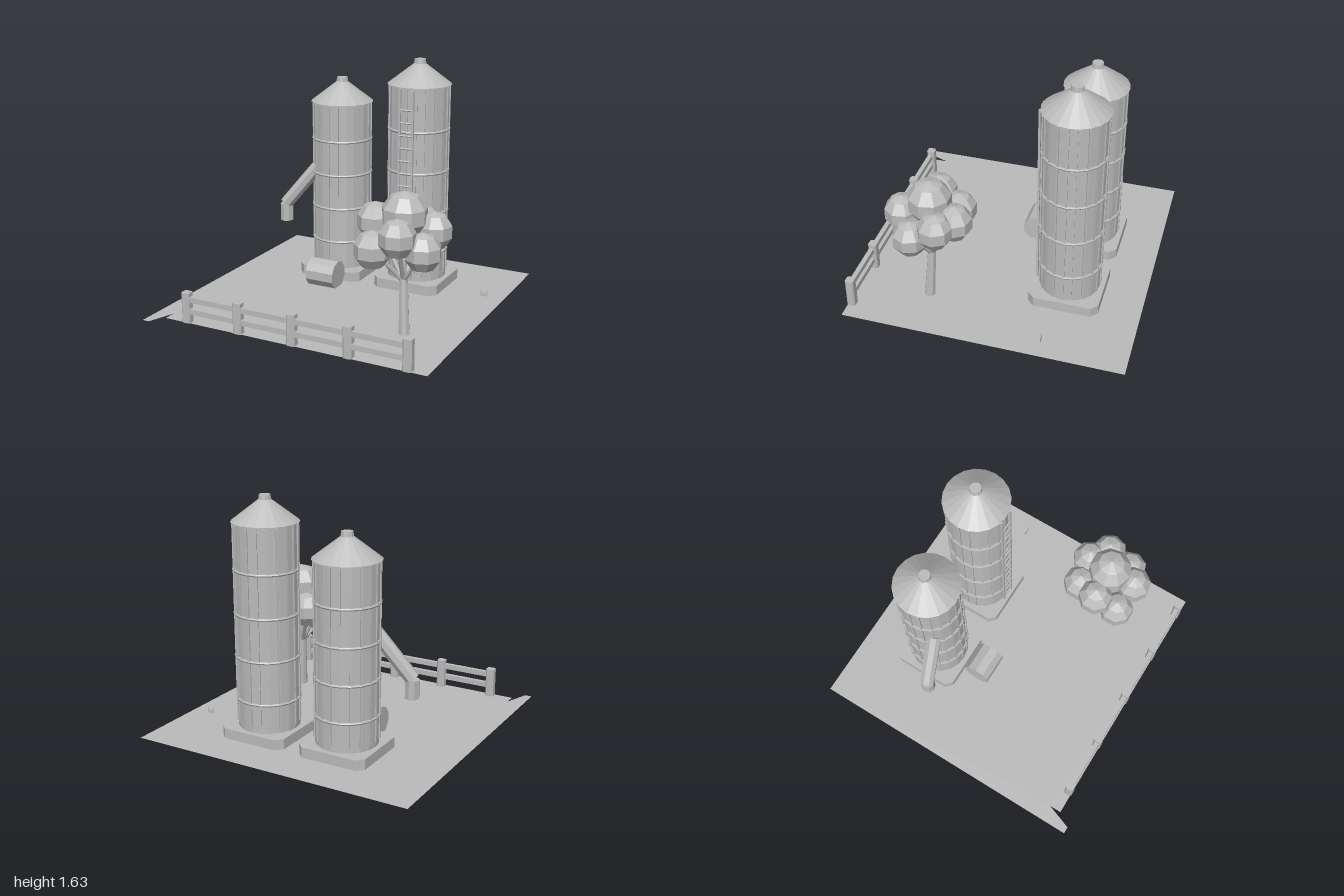
import * as THREE from 'three';

const grey = new THREE.MeshStandardMaterial({ color: 0xbbbbbb, flatShading: true });
grey.name = 'grey';
const greySheet = new THREE.MeshStandardMaterial({ color: 0xbbbbbb, side: THREE.DoubleSide });
greySheet.name = 'greySheet';

function add(parent, name, geometry, x = 0, y = 0, z = 0, material = grey) {
  const mesh = new THREE.Mesh(geometry, material);
  mesh.name = name;
  mesh.position.set(x, y, z);
  parent.add(mesh);
  return mesh;
}

function polygon(points) {
  return new THREE.Shape(points.map(([x, y]) => new THREE.Vector2(x, y)));
}

// Upright block with cut corners, standing on y = 0
function cutBlock(w, d, h, c) {
  const a = w / 2, b = d / 2;
  const shape = polygon([[-a + c, -b], [a - c, -b], [a, -b + c], [a, b - c],
    [a - c, b], [-a + c, b], [-a, b - c], [-a, -b + c]]);
  return new THREE.ExtrudeGeometry(shape, { depth: h, bevelEnabled: false }).rotateX(-Math.PI / 2);
}

// Tapered rod between two points
function rod(parent, name, from, to, r0, r1, sides) {
  const a = new THREE.Vector3(...from), b = new THREE.Vector3(...to);
  const dir = b.clone().sub(a);
  const mesh = add(parent, name, new THREE.CylinderGeometry(r1, r0, dir.length(), sides));
  mesh.position.copy(a).add(b).multiplyScalar(0.5);
  mesh.quaternion.setFromUnitVectors(new THREE.Vector3(0, 1, 0), dir.normalize());
  return mesh;
}

function silo(name, x, top, ringStep) {
  const g = new THREE.Group();
  g.name = name;
  g.position.set(x, 0, -0.483);
  add(g, 'foundation', cutBlock(0.48, 0.48, 0.08, 0.045), 0, 0.018, 0);
  add(g, 'wall', new THREE.CylinderGeometry(0.206, 0.206, top - 0.09, 20), 0, (top + 0.09) / 2, 0);
  // Vertical ribs
  for (let i = 0; i < 20; i++) {
    const a = i / 20 * Math.PI * 2;
    const rib = add(g, 'rib', new THREE.BoxGeometry(0.012, top - 0.14, 0.014),
      Math.sin(a) * 0.207, (top + 0.12) / 2, Math.cos(a) * 0.207);
    rib.rotation.y = a;
  }
  // Horizontal hoops
  for (let i = 0; i < 4; i++) {
    const hoop = add(g, 'hoop', new THREE.TorusGeometry(0.209, 0.01, 6, 20), 0, 0.295 + i * ringStep, 0);
    hoop.rotation.x = Math.PI / 2;
  }
  add(g, 'roof', new THREE.CylinderGeometry(0.04, 0.222, 0.14, 20), 0, top + 0.07, 0);
  add(g, 'roofCap', new THREE.CylinderGeometry(0.038, 0.044, 0.045, 10), 0, top + 0.148, 0);
  return g;
}

function createLadder() {
  const g = new THREE.Group();
  g.name = 'ladder';
  g.position.set(0.305, 0, -0.265);
  for (const s of [-1, 1]) add(g, 'ladderRail', new THREE.BoxGeometry(0.014, 1.33, 0.014), s * 0.048, 0.79, 0);
  for (let i = 0; i < 14; i++) {
    const rung = add(g, 'rung', new THREE.CylinderGeometry(0.007, 0.007, 0.1, 6), 0, 0.17 + i * 0.088, 0.002);
    rung.rotation.z = Math.PI / 2;
  }
  return g;
}

function createTree() {
  const g = new THREE.Group();
  g.name = 'tree';
  rod(g, 'trunk', [0.618, 0.005, 0.415], [0.597, 0.4, 0.39], 0.038, 0.027, 8);
  const crowns = [[0.40, 0.74, 0.39], [0.45, 0.60, 0.54], [0.63, 0.705, 0.565], [0.758, 0.61, 0.47],
    [0.757, 0.70, 0.30], [0.64, 0.70, 0.21], [0.46, 0.67, 0.24]];
  for (const [x, y, z] of crowns) {
    rod(g, 'branch', [0.597, 0.37, 0.39], [x, y, z], 0.016, 0.01, 6);
    const blob = add(g, 'foliage', new THREE.SphereGeometry(0.122, 8, 5), x, y, z);
    blob.scale.y = 1.04;
    blob.rotation.y = Math.atan2(x - 0.6, z - 0.39) + Math.PI / 8;
  }
  rod(g, 'branch', [0.597, 0.37, 0.39], [0.597, 0.75, 0.388], 0.018, 0.012, 6);
  const crown = add(g, 'topFoliage', new THREE.SphereGeometry(0.152, 9, 5), 0.597, 0.805, 0.388);
  crown.rotation.y = 0.2;
  return g;
}

function createFence() {
  const g = new THREE.Group();
  g.name = 'fence';
  for (let i = 0; i < 5; i++) {
    add(g, 'post', cutBlock(0.06, 0.058, 0.205, 0.01), -0.713 + i * 0.392, 0.026, 0.88);
  }
  for (const y of [0.105, 0.187]) add(g, 'fenceRail', new THREE.BoxGeometry(1.57, 0.036, 0.032), 0.071, y, 0.882);
  return g;
}

export function createModel() {
  const model = new THREE.Group();
  model.name = 'farmyard';

  // Thin ground sheet with a jagged front corner
  const yard = polygon([[-0.988, -1], [-0.94, -1], [-0.875, -0.82], [-0.875, -0.903],
    [0.985, -0.903], [0.985, 1], [-0.988, 1]]);
  add(model, 'ground', new THREE.ShapeGeometry(yard).rotateX(-Math.PI / 2), 0, 0.028, 0, greySheet);

  model.add(silo('shortSilo', -0.293, 1.295, 0.245));
  model.add(silo('tallSilo', 0.305, 1.465, 0.288));
  model.add(createLadder());

  // Discharge chute
  const chute = new THREE.Group();
  chute.name = 'chute';
  rod(chute, 'chutePipe', [-0.665, 0.53, -0.31], [-0.43, 0.825, -0.375], 0.049, 0.049, 8);
  add(chute, 'spout', new THREE.CylinderGeometry(0.048, 0.048, 0.125, 8), -0.663, 0.465, -0.31);
  model.add(chute);

  // Round bale lying on its side
  const bale = add(model, 'bale', new THREE.CylinderGeometry(0.1, 0.1, 0.212, 10), -0.247, 0.113, -0.129);
  bale.rotation.set(Math.PI / 10, 0, Math.PI / 2, 'XYZ');

  model.add(createTree());
  model.add(createFence());

  // Flat grass tuft
  const tuft = polygon([[-0.028, 0], [0.028, 0], [0.024, 0.055], [0.008, 0.015], [0, 0.04],
    [-0.008, 0.015], [-0.022, 0.065]]);
  add(model, 'grassTuft', new THREE.ShapeGeometry(tuft), 0.843, 0.024, -0.425, greySheet);
  return model;
}
